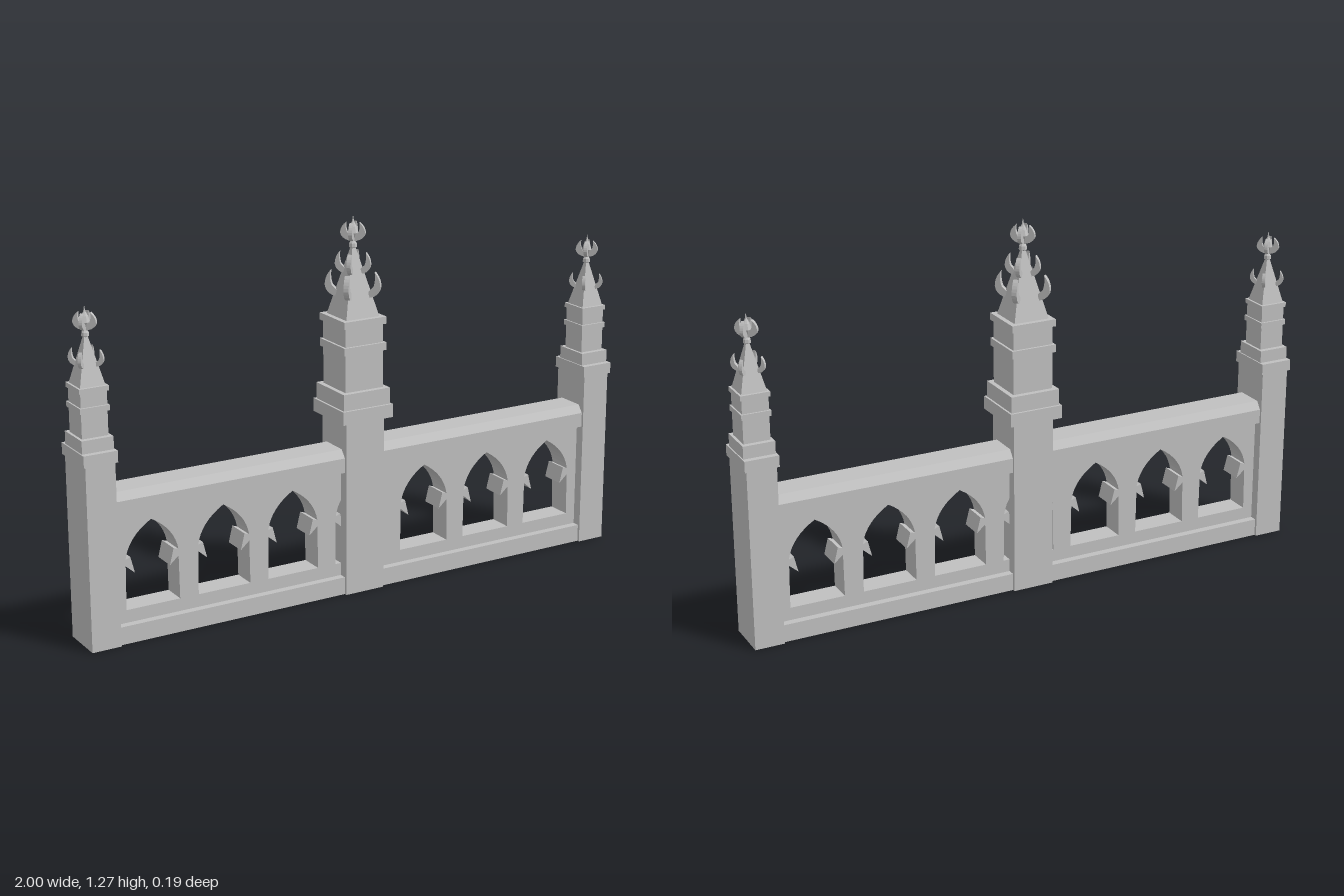
import * as THREE from 'three';

const stone = new THREE.MeshStandardMaterial({ color: 0xc0c0c0, flatShading: true });
stone.name = 'stone';

function add(parent, name, geometry, x = 0, y = 0, z = 0) {
  const mesh = new THREE.Mesh(geometry, stone);
  mesh.name = name;
  mesh.position.set(x, y, z);
  parent.add(mesh);
  return mesh;
}

// Box given by half width, half depth and its bottom and top heights
function block(parent, name, hx, hz, y0, y1) {
  return add(parent, name, new THREE.BoxGeometry(hx * 2, y1 - y0, hz * 2), 0, (y0 + y1) / 2, 0);
}

// Upward-curling leaf, 1 unit high, lying in the xy plane
function leafGeometry() {
  const s = new THREE.Shape();
  s.moveTo(-0.1, 0);
  s.quadraticCurveTo(0.3, 0.05, 0.36, 0.42);
  s.quadraticCurveTo(0.36, 0.75, 0.14, 1);
  s.quadraticCurveTo(0.18, 0.65, 0.08, 0.42);
  s.lineTo(-0.1, 0.25);
  const g = new THREE.ExtrudeGeometry(s, { depth: 0.2, bevelEnabled: false, curveSegments: 5 });
  return g.translate(0, 0, -0.1);
}
const leaf = leafGeometry();

// Four leaves around the axis, on the corner diagonals
function leafRing(parent, name, radius, y, size, spread = 1) {
  for (let i = 0; i < 4; i++) {
    const a = Math.PI / 4 + i * Math.PI / 2;
    const m = add(parent, name, leaf, Math.cos(a) * radius, y, -Math.sin(a) * radius);
    m.rotation.y = a;
    m.scale.set(size * spread, size, size);
  }
}

function spire(parent, half, y0, y1) {
  const g = new THREE.CylinderGeometry(0.004, half * Math.SQRT2, y1 - y0, 4);
  add(parent, 'spire', g.rotateY(Math.PI / 4), 0, (y0 + y1) / 2, 0);
}

// Bud with a knob below and four petals
function finial(parent, y, s) {
  const g = new THREE.Group();
  g.name = 'finial';
  const profile = [[0, 0], [0.014, 0.008], [0.013, 0.02], [0.006, 0.03], [0.018, 0.055],
    [0.012, 0.075], [0.004, 0.09], [0, 0.112]].map(p => new THREE.Vector2(...p));
  add(g, 'bud', new THREE.LatheGeometry(profile, 8));
  leafRing(g, 'petal', 0.01, 0.027, 0.062, 1.4);
  g.position.y = y;
  g.scale.setScalar(s);
  parent.add(g);
}

function centrePost() {
  const g = new THREE.Group();
  g.name = 'centrePost';
  block(g, 'shaft', 0.072, 0.077, 0, 0.605);
  block(g, 'lowerCollar', 0.094, 0.097, 0.6, 0.645);
  block(g, 'upperCollar', 0.087, 0.089, 0.645, 0.7);
  block(g, 'upperShaft', 0.071, 0.071, 0.7, 0.92);
  block(g, 'band', 0.079, 0.079, 0.826, 0.852);
  block(g, 'cornice', 0.079, 0.079, 0.914, 0.938);
  spire(g, 0.062, 0.938, 1.175);
  leafRing(g, 'lowerCrocket', 0.062, 0.998, 0.085);
  leafRing(g, 'upperCrocket', 0.034, 1.076, 0.07);
  finial(g, 1.155, 1);
  return g;
}

function endPost(side) {
  const g = new THREE.Group();
  g.name = side > 0 ? 'leftPost' : 'rightPost';
  block(g, 'shaft', 0.05, 0.076, 0, 0.615);
  block(g, 'lowerCollar', 0.057, 0.082, 0.61, 0.648);
  block(g, 'upperCollar', 0.053, 0.063, 0.648, 0.69);
  block(g, 'upperShaft', 0.044, 0.046, 0.69, 0.84);
  block(g, 'band', 0.049, 0.052, 0.77, 0.788);
  block(g, 'cornice', 0.049, 0.051, 0.833, 0.849);
  spire(g, 0.042, 0.849, 1.01);
  leafRing(g, 'crocket', 0.038, 0.905, 0.054);
  finial(g, 0.992, 0.92);
  g.position.x = side * 0.942;
  return g;
}

// Pointed opening with a barbed cusp on each jamb
function archHole(cx) {
  const p = new THREE.Path();
  p.moveTo(cx - 0.094, 0.103);
  p.lineTo(cx + 0.094, 0.103);
  p.lineTo(cx + 0.092, 0.25);
  p.lineTo(cx + 0.061, 0.223);
  p.lineTo(cx + 0.075, 0.278);
  p.lineTo(cx + 0.092, 0.272);
  p.quadraticCurveTo(cx + 0.08, 0.345, cx, 0.391);
  p.quadraticCurveTo(cx - 0.08, 0.345, cx - 0.092, 0.272);
  p.lineTo(cx - 0.075, 0.278);
  p.lineTo(cx - 0.061, 0.223);
  p.lineTo(cx - 0.092, 0.25);
  p.closePath();
  return p;
}

function parapet() {
  const g = new THREE.Group();
  g.name = 'parapet';
  const L = 0.9;

  // Pierced panel
  const s = new THREE.Shape();
  s.moveTo(-L, 0.05);
  s.lineTo(L, 0.05);
  s.lineTo(L, 0.435);
  s.lineTo(-L, 0.435);
  s.closePath();
  for (let i = -3; i <= 3; i++) s.holes.push(archHole(i * 0.254));
  const panel = new THREE.ExtrudeGeometry(s, { depth: 0.084, bevelEnabled: false, curveSegments: 8 });
  add(g, 'piercedPanel', panel, 0, 0, -0.042);

  block(g, 'plinth', L, 0.067, 0, 0.06);

  // Coping with bevelled upper edges
  const c = new THREE.Shape([[-0.068, 0.427], [0.068, 0.427], [0.068, 0.477], [0.048, 0.503],
    [-0.048, 0.503], [-0.068, 0.477]].map(p => new THREE.Vector2(...p)));
  const coping = new THREE.ExtrudeGeometry(c, { depth: L * 2, bevelEnabled: false });
  add(g, 'coping', coping.translate(0, 0, -L).rotateY(Math.PI / 2));
  return g;
}

export function createModel() {
  const model = new THREE.Group();
  model.name = 'gothicBalustrade';
  model.add(parapet(), centrePost(), endPost(1), endPost(-1));
  return model;
}
